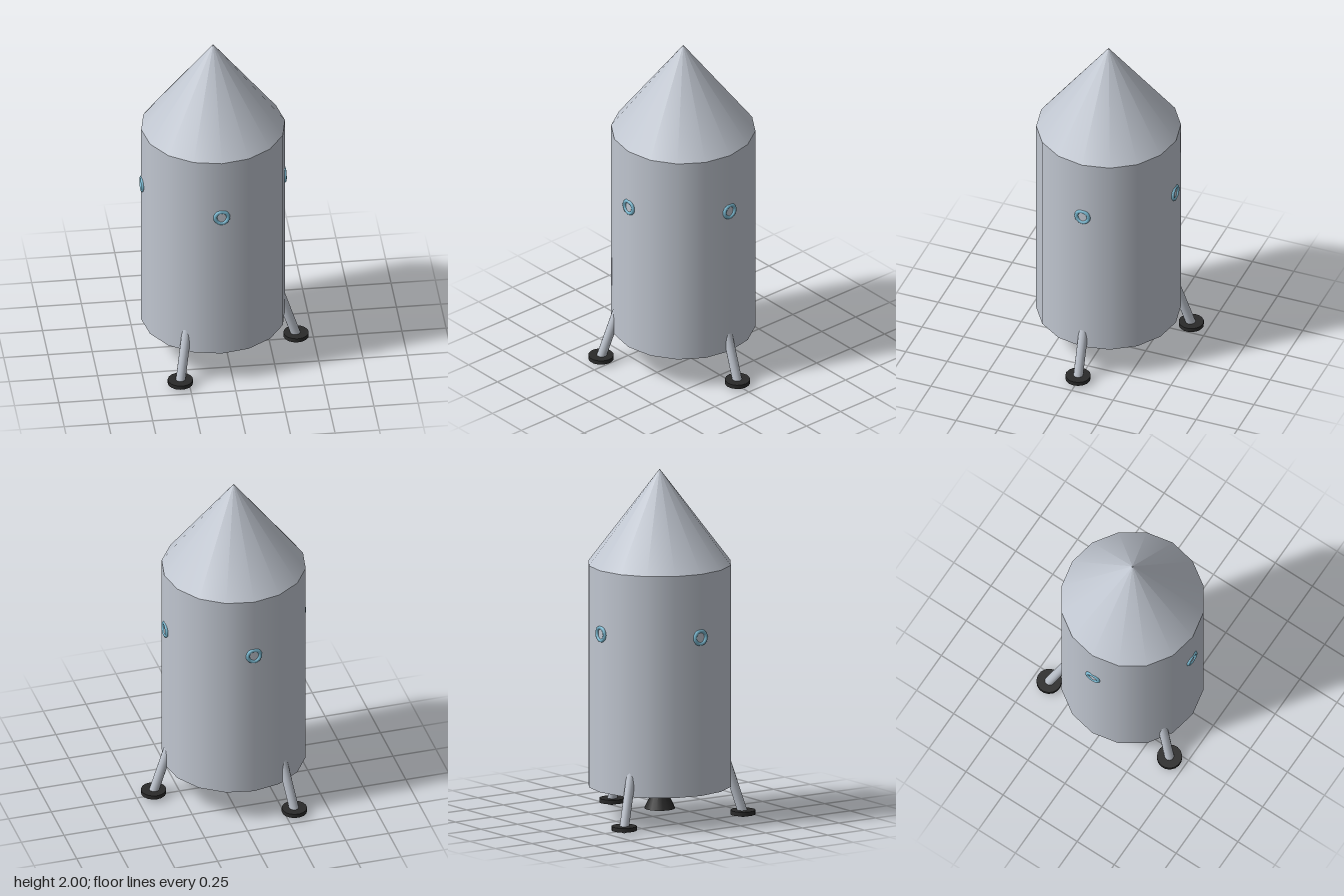
import * as THREE from 'three';

const AXIS_X = -0.067; // the hull axis sits off centre, balancing the single left leg
const HULL_RADIUS = 0.406;
const HULL_BOTTOM = 0.195;
const HULL_TOP = 1.462;

export function createModel() {
  const hullGrey = new THREE.MeshStandardMaterial({ color: 0xc0c6d0 });
  hullGrey.name = 'hullGrey';
  const darkRubber = new THREE.MeshStandardMaterial({ color: 0x2a2a2a });
  darkRubber.name = 'darkRubber';
  const windowBlue = new THREE.MeshStandardMaterial({ color: 0x7ab8d0 });
  windowBlue.name = 'windowBlue';

  const model = new THREE.Group();
  model.name = 'rocket';
  const rocket = new THREE.Group();
  rocket.name = 'rocketParts';
  rocket.position.x = AXIS_X;
  model.add(rocket);

  const add = (parent, name, geometry, material, x = 0, y = 0, z = 0) => {
    const mesh = new THREE.Mesh(geometry, material);
    mesh.name = name;
    mesh.position.set(x, y, z);
    parent.add(mesh);
    return mesh;
  };

  // Hull and nose cone
  const hullHeight = HULL_TOP - HULL_BOTTOM;
  add(rocket, 'hull', new THREE.CylinderGeometry(HULL_RADIUS, HULL_RADIUS, hullHeight, 16),
    hullGrey, 0, HULL_BOTTOM + hullHeight / 2);
  const noseHeight = 2 - HULL_TOP;
  add(rocket, 'noseCone', new THREE.ConeGeometry(HULL_RADIUS, noseHeight, 16),
    hullGrey, 0, HULL_TOP + noseHeight / 2);

  // Engine nozzle, its tip buried in the hull
  add(rocket, 'nozzle', new THREE.ConeGeometry(0.088, 0.18, 16), darkRubber, 0, 0.15);

  // Four porthole rims, sunk halfway into the hull
  const rim = new THREE.TorusGeometry(0.037, 0.011, 8, 20);
  for (let i = 0; i < 4; i++) {
    const side = new THREE.Group();
    side.name = `porthole${i + 1}`;
    side.rotation.y = i * Math.PI / 2;
    add(side, 'portholeRim', rim, windowBlue, 0, 1.1, 0.401);
    rocket.add(side);
  }

  // Three splayed legs with round feet
  const legLength = 0.32;
  const legTilt = THREE.MathUtils.degToRad(18);
  const strut = new THREE.CapsuleGeometry(0.027, legLength, 6, 14);
  strut.translate(0, legLength / 2, 0);
  const pad = new THREE.CylinderGeometry(0.071, 0.071, 0.024, 16);
  for (let i = 0; i < 3; i++) {
    const leg = new THREE.Group();
    leg.name = `leg${i + 1}`;
    leg.rotation.y = i * Math.PI * 2 / 3;
    add(leg, 'strut', strut, hullGrey, 0.469, 0.027).rotation.z = legTilt;
    add(leg, 'footPad', pad, darkRubber, 0.469, 0.029);
    rocket.add(leg);
  }

  return model;
}
